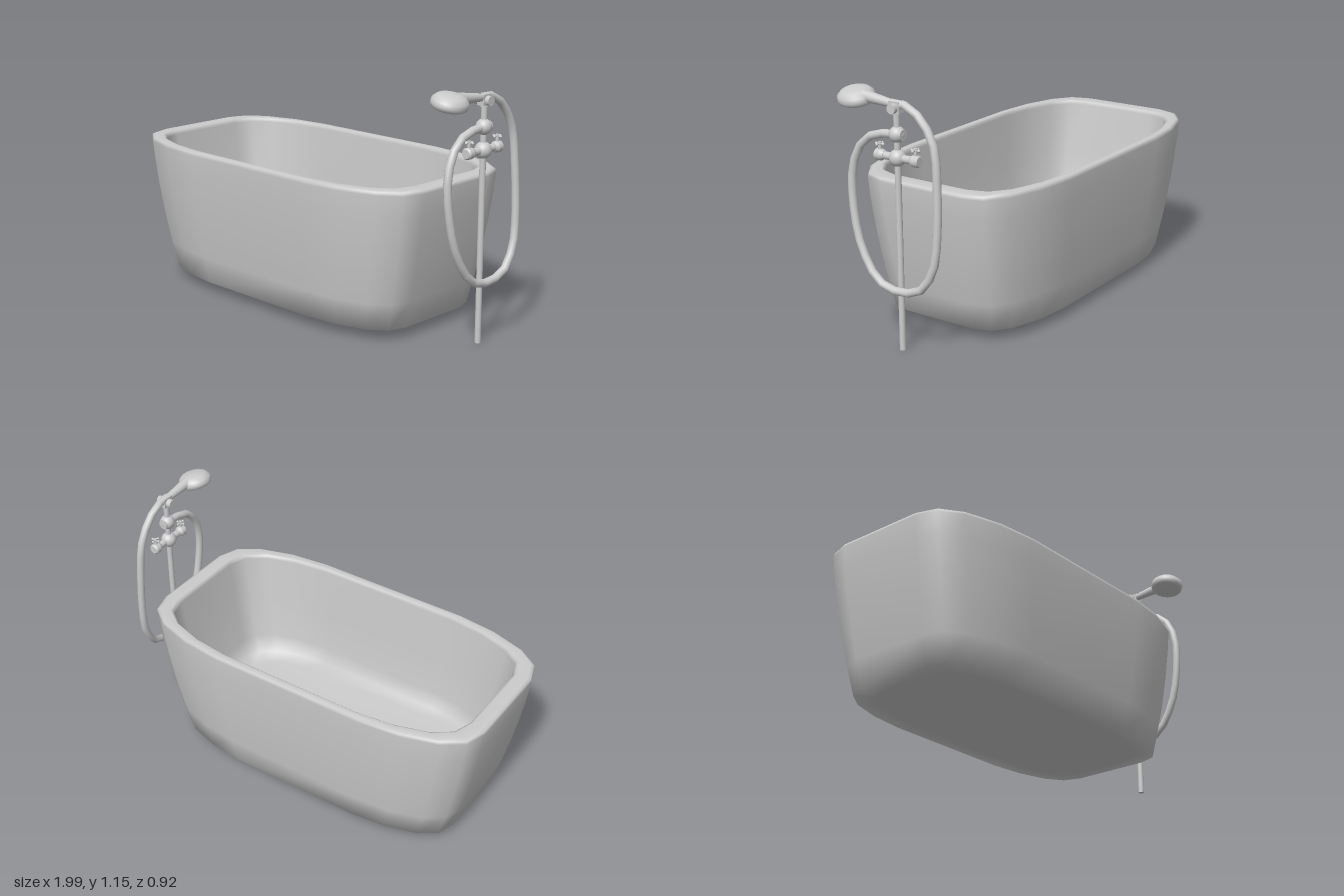
import * as THREE from 'three';

const material = new THREE.MeshStandardMaterial({ color: 0xcccccc, side: THREE.DoubleSide });
const V = (x, y, z) => new THREE.Vector3(x, y, z);

function add(parent, name, geometry, x = 0, y = 0, z = 0) {
  const mesh = new THREE.Mesh(geometry, material);
  mesh.name = name;
  mesh.position.set(x, y, z);
  parent.add(mesh);
  return mesh;
}

// Tapered rod between two points
function rod(parent, name, a, b, ra, rb = ra, sides = 16) {
  const d = b.clone().sub(a);
  const mesh = add(parent, name, new THREE.CylinderGeometry(rb, ra, d.length(), sides));
  mesh.position.copy(a).addScaledVector(d, 0.5);
  mesh.quaternion.setFromUnitVectors(V(0, 1, 0), d.normalize());
  return mesh;
}

// Rounded-rectangle outline, from a quarter given as fractions of the half sizes
const corner = [[1, 0.47], [0.963, 0.69], [0.855, 0.84], [0.66, 0.953], [0.44, 1]];
const back = [...corner].reverse();
const outline = [
  ...corner,
  ...back.map(([x, z]) => [-x, z]),
  ...corner.map(([x, z]) => [-x, -z]),
  ...back.map(([x, z]) => [x, -z]),
];

// Skin through rings of [y, xMin, xMax, half depth]
function skin(rings) {
  const n = outline.length, pos = [], index = [];
  for (const [y, x0, x1, hz] of rings) {
    for (const [x, z] of outline) pos.push((x0 + x1) / 2 + x * (x1 - x0) / 2, y, z * hz);
  }
  for (let i = 0; i < rings.length - 1; i++) {
    for (let j = 0; j < n; j++) {
      const k = (j + 1) % n, a = i * n, b = a + n;
      index.push(a + j, b + j, a + k, a + k, b + j, b + k);
    }
  }
  const g = new THREE.BufferGeometry();
  g.setAttribute('position', new THREE.Float32BufferAttribute(pos, 3));
  g.setIndex(index);
  g.computeVertexNormals();
  return g;
}

function buildTub() {
  const tub = new THREE.Group();
  tub.name = 'bathtub';
  // Underside, outer wall, rolled rim, inner wall and floor in one skin
  add(tub, 'tubShell', skin([
    [0.05, -0.105, -0.105, 0],
    [0.05, -0.79, 0.58, 0.315],
    [0.05, -0.87, 0.66, 0.395],
    [0.18, -0.905, 0.693, 0.414],
    [0.32, -0.938, 0.725, 0.432],
    [0.47, -0.968, 0.752, 0.447],
    [0.60, -0.989, 0.772, 0.456],
    [0.695, -1, 0.782, 0.461],
    [0.709, -0.996, 0.778, 0.458],
    [0.715, -0.982, 0.764, 0.45],
    [0.715, -0.93, 0.71, 0.427],
    [0.71, -0.918, 0.70, 0.42],
    [0.695, -0.912, 0.695, 0.416],
    [0.45, -0.878, 0.66, 0.4],
    [0.25, -0.835, 0.622, 0.38],
    [0.16, -0.805, 0.595, 0.362],
    [0.14, -0.74, 0.53, 0.31],
    [0.135, -0.105, -0.105, 0],
  ]));
  // Drain
  const ring = add(tub, 'drainRing', new THREE.TorusGeometry(0.052, 0.006, 8, 28), 0.35, 0.143, 0);
  ring.rotation.x = Math.PI / 2;
  add(tub, 'drainPlug', new THREE.CylinderGeometry(0.048, 0.048, 0.012, 28), 0.35, 0.138, 0);
  return tub;
}

function buildFaucet() {
  const X = 0.92;
  const faucet = new THREE.Group();
  faucet.name = 'standingFaucet';
  rod(faucet, 'standPipe', V(X, 0, 0), V(X, 1.09, 0), 0.014);
  add(faucet, 'mixerBall', new THREE.SphereGeometry(0.038, 20, 14), X, 0.875, 0);
  add(faucet, 'hoseOutletBall', new THREE.SphereGeometry(0.036, 20, 14), X, 0.977, 0);
  rod(faucet, 'hoseOutletCap', V(X, 0.977, -0.034), V(X, 0.977, 0.02), 0.024);
  rod(faucet, 'mixerBar', V(X, 0.875, -0.09), V(X, 0.875, 0.09), 0.017);

  // Hot and cold valves
  for (const s of [-1, 1]) {
    rod(faucet, 'valveNeck', V(X, 0.875, s * 0.07), V(X, 0.875, s * 0.085), 0.018, 0.026);
    rod(faucet, 'valveBody', V(X, 0.875, s * 0.085), V(X, 0.875, s * 0.11), 0.026);
    rod(faucet, 'valveCap', V(X, 0.875, s * 0.11), V(X, 0.875, s * 0.117), 0.026, 0.02);
    rod(faucet, 'valveStem', V(X, 0.885, s * 0.096), V(X, 0.93, s * 0.096), 0.008);
    for (const [dx, dz] of [[0.019, 0], [0, 0.019]]) {
      rod(faucet, 'crossHandle', V(X - dx, 0.921, s * 0.096 - dz), V(X + dx, 0.921, s * 0.096 + dz), 0.004, 0.004, 10);
      for (const e of [-1, 1]) {
        add(faucet, 'handleTip', new THREE.SphereGeometry(0.0065, 10, 8), X + e * dx, 0.921, s * 0.096 + e * dz);
      }
    }
  }

  // Shower holder
  rod(faucet, 'holderCollar', V(X, 1.065, 0), V(X, 1.08, 0), 0.02);
  add(faucet, 'holderClip', new THREE.BoxGeometry(0.036, 0.048, 0.055), X, 1.096, 0);
  rod(faucet, 'holderPin', V(X - 0.043, 1.092, 0), V(X + 0.038, 1.092, 0), 0.022);

  // Hand shower
  rod(faucet, 'showerHandle', V(X, 1.106, 0.02), V(X, 1.12, 0.175), 0.017, 0.027);
  const profile = [[0, -0.03], [0.066, -0.03], [0.077, -0.023], [0.081, -0.008], [0.077, 0.01], [0.06, 0.026], [0.035, 0.032], [0, 0.034]];
  const head = add(faucet, 'showerHead',
    new THREE.LatheGeometry(profile.map(([r, y]) => new THREE.Vector2(r, y)), 28), 0.915, 1.114, 0.222);
  head.rotation.z = -0.22;
  head.scale.z = 1.04;

  // Hose, swinging slightly outwards as it hangs
  const path = [[0.03, 1.108], [-0.05, 1.105], [-0.13, 1.055], [-0.195, 0.95], [-0.214, 0.78], [-0.216, 0.55],
    [-0.198, 0.42], [-0.13, 0.315], [0, 0.285], [0.1, 0.315], [0.185, 0.43], [0.23, 0.57],
    [0.242, 0.8], [0.18, 0.925], [0.1, 0.965], [0, 0.977]];
  const curve = new THREE.CatmullRomCurve3(path.map(([z, y]) => V(X + 0.048 * Math.max(0, 1 - y), y, z)));
  add(faucet, 'hose', new THREE.TubeGeometry(curve, 28, 0.0185, 12));
  return faucet;
}

export function createModel() {
  const model = new THREE.Group();
  model.name = 'bathtubWithFaucet';
  model.add(buildTub(), buildFaucet());
  return model;
}
